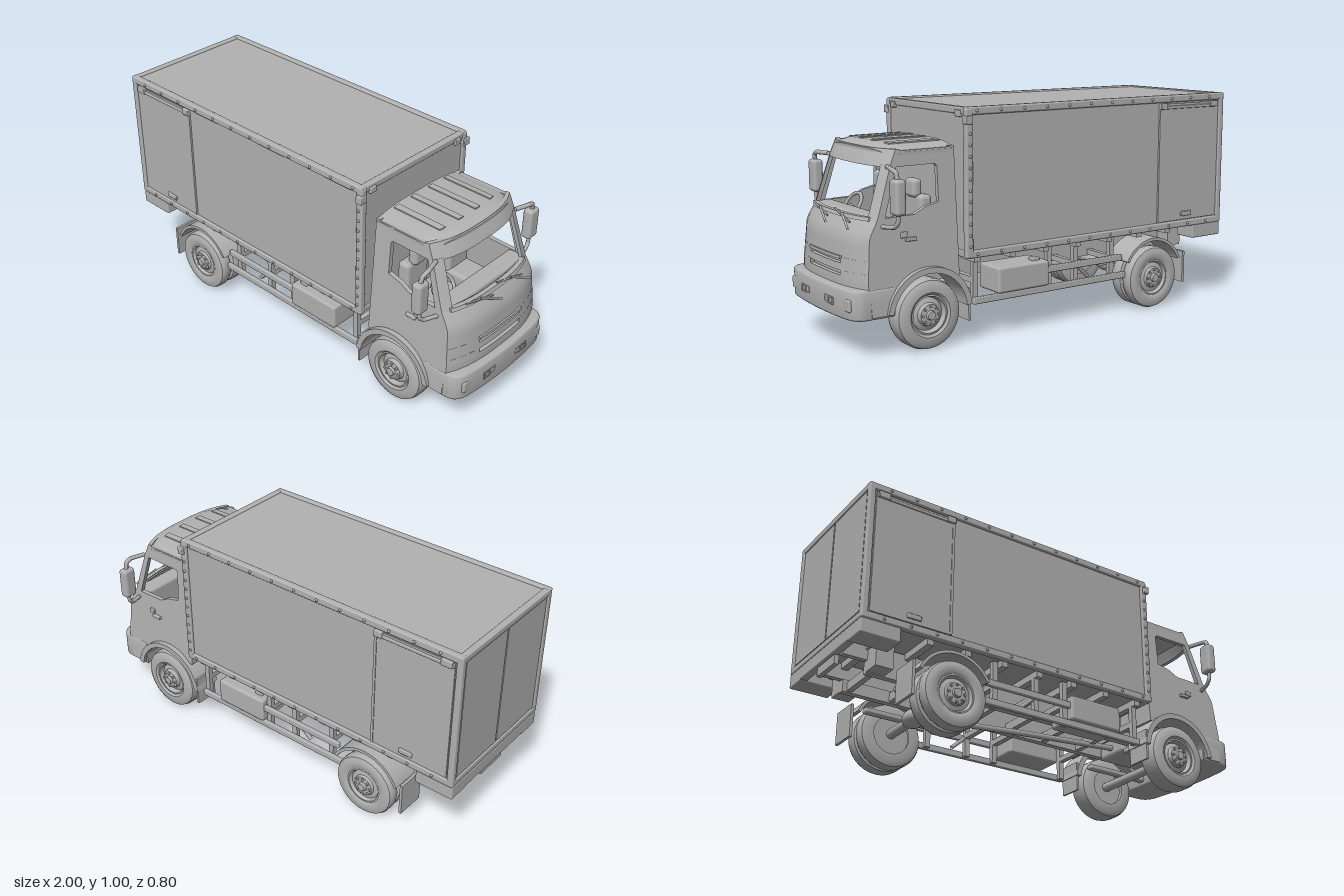
import * as THREE from 'three';
import { toCreasedNormals } from 'three/addons/utils/BufferGeometryUtils.js';
import { RoundedBoxGeometry } from 'three/addons/geometries/RoundedBoxGeometry.js';

const grey = new THREE.MeshStandardMaterial({ color: 0xb2b2b2, side: THREE.DoubleSide });
grey.name = 'plain grey';

export function createModel() {
  const truck = new THREE.Group();
  truck.name = 'boxTruck';
  const V = (x, y, z) => new THREE.Vector3(x, y, z);
  const add = (name, geo, parent = truck) => {
    const m = new THREE.Mesh(geo, grey);
    m.name = name;
    parent.add(m);
    return m;
  };
  // Box given by its limits on each axis, optionally rounded
  const box = (name, x0, x1, y0, y1, z0, z1, r = 0) => {
    const s = [x1 - x0, y1 - y0, z1 - z0];
    const g = r ? new RoundedBoxGeometry(...s, 2, r) : new THREE.BoxGeometry(...s);
    return add(name, g.translate((x0 + x1) / 2, (y0 + y1) / 2, (z0 + z1) / 2));
  };
  // Same box on both sides of the truck
  const pair = (name, x0, x1, y0, y1, z0, z1, r = 0) => {
    box(name + 'Left', x0, x1, y0, y1, z0, z1, r);
    box(name + 'Right', x0, x1, y0, y1, -z1, -z0, r);
  };
  const tube = (name, pts, r) => add(name, new THREE.TubeGeometry(
    new THREE.CatmullRomCurve3(pts.map(p => V(...p)), false, 'catmullrom', 0.2), 20, r, 8));
  const bend = (geo, rule) => {
    const p = geo.attributes.position, v = V(0, 0, 0);
    for (let i = 0; i < p.count; i++) {
      rule(v.fromBufferAttribute(p, i));
      p.setXYZ(i, v.x, v.y, v.z);
    }
    geo.computeVertexNormals();
    return geo;
  };

  // Cargo box with edge rails, corner blocks, side doors and rivets
  box('cargoBox', -0.99, 0.465, 0.375, 0.992, -0.325, 0.325);
  for (const y of [0.385, 0.983]) {
    pair('longRail', -1, 0.47, y - 0.017, y + 0.017, 0.305, 0.335, 0.008);
    box('frontRail', 0.44, 0.47, y - 0.015, y + 0.015, -0.33, 0.33, 0.006);
    box('rearRail', -1, -0.97, y - 0.015, y + 0.015, -0.33, 0.33, 0.006);
  }
  pair('frontPost', 0.44, 0.474, 0.37, 0.995, 0.305, 0.336, 0.008);
  pair('rearPost', -1, -0.97, 0.37, 0.995, 0.305, 0.335, 0.008);
  pair('sideDoor', -0.965, -0.6, 0.405, 0.96, 0.32, 0.331);
  pair('doorPost', -0.602, -0.59, 0.405, 0.96, 0.32, 0.334);
  pair('doorRail', -0.96, -0.6, 0.935, 0.95, 0.32, 0.337, 0.004);
  pair('doorHandle', -0.8, -0.735, 0.422, 0.445, 0.325, 0.339, 0.004);
  pair('upperLatch', -0.955, -0.905, 0.935, 0.965, 0.325, 0.342, 0.004);
  pair('upperHinge', -0.63, -0.59, 0.935, 0.965, 0.325, 0.342, 0.004);
  pair('cornerBlock', 0.45, 0.478, 0.93, 0.965, 0.31, 0.35, 0.004);
  pair('frontMarker', 0.46, 0.478, 0.957, 0.985, 0.252, 0.288, 0.004);
  pair('rearDoor', -0.996, -0.985, 0.405, 0.965, 0.004, 0.3);
  for (let i = 0; i < 12; i++) for (const s of [-1, 1]) {
    const x = -0.9 + i * 0.12, y = 0.42 + i * 0.047;
    for (const h of [0.385, 0.983]) add('rivet', new THREE.SphereGeometry(0.007, 6, 4).translate(x, h, s * 0.335));
    add('rivet', new THREE.SphereGeometry(0.007, 6, 4).translate(0.455, y, s * 0.336));
  }

  // Chassis frame, cross members, axles and rear step
  pair('chassisRail', -0.86, 0.85, 0.245, 0.3, 0.095, 0.125);
  pair('subframe', -0.97, 0.46, 0.3, 0.37, 0.1, 0.125);
  for (let i = 0; i < 8; i++) {
    box('crossMember', -0.84 + i * 0.2, -0.815 + i * 0.2, 0.25, 0.29, -0.1, 0.1);
    box('floorBeam', -0.87 + i * 0.18, -0.84 + i * 0.18, 0.345, 0.375, -0.31, 0.31);
  }
  pair('rearSkirt', -1, -0.82, 0.305, 0.37, 0.22, 0.33, 0.006);
  box('rearBeam', -1, -0.965, 0.31, 0.37, -0.32, 0.32, 0.005);
  box('rearPlate', -0.985, -0.965, 0.27, 0.315, -0.08, 0.08);
  pair('tailLamp', -1, -0.985, 0.32, 0.35, 0.23, 0.31);
  pair('rearHanger', -0.86, -0.78, 0.25, 0.37, 0.1, 0.2);
  for (const x of [-0.565, 0.64]) {
    add('axle', new THREE.CylinderGeometry(0.022, 0.022, 0.5, 14).rotateX(Math.PI / 2).translate(x, 0.155, 0));
    pair('leafSpring', x - 0.17, x + 0.17, 0.19, 0.215, 0.12, 0.155, 0.008);
  }
  add('differential', new THREE.SphereGeometry(0.05, 18, 12).scale(1, 0.8, 1.4).translate(-0.565, 0.158, 0));
  tube('driveShaft', [[-0.55, 0.165, 0], [0, 0.22, 0], [0.5, 0.26, 0]], 0.014);
  box('engine', 0.5, 0.86, 0.22, 0.36, -0.09, 0.09, 0.02);

  // Side guards and tanks
  pair('lowerGuard', -0.42, 0.42, 0.16, 0.19, 0.285, 0.305, 0.005);
  pair('upperGuard', -0.4, 0.05, 0.245, 0.275, 0.285, 0.305, 0.005);
  for (const x of [-0.36, -0.15, 0, 0.39]) {
    pair('guardPost', x, x + 0.025, 0.165, 0.37, 0.265, 0.288);
    pair('guardArm', x, x + 0.025, 0.25, 0.275, 0.12, 0.28);
  }
  pair('tank', 0.03, 0.3, 0.19, 0.305, 0.16, 0.315, 0.012);
  pair('tankCap', 0.06, 0.1, 0.3, 0.318, 0.25, 0.285, 0.005);
  for (const s of [-1, 1])
    tube('guardBrace', [[-0.13, 0.27, s * 0.28], [-0.22, 0.19, s * 0.27]], 0.009);

  // Wheels: turned tyre and rim, hub and bolts
  const wheel = (name, x, z, s, r, w) => {
    const g = new THREE.Group();
    g.name = name;
    const h = w / 2;
    const tyre = [[0.085, -h], [r - 0.025, -h], [r - 0.006, -h * 0.8], [r, -h * 0.45], [r, h * 0.45],
      [r - 0.006, h * 0.8], [r - 0.025, h], [0.095, h], [0.085, h * 0.85]];
    const rim = [[0.088, h * 0.8], [0.078, h * 0.85], [0.07, h * 0.45], [0.05, h * 0.6], [0.045, h * 0.95], [0.03, h], [0, h]];
    const lathe = p => toCreasedNormals(new THREE.LatheGeometry(p.map(q => new THREE.Vector2(...q)), 40).rotateX(Math.PI / 2), 0.6);
    add('tyre', lathe(tyre), g);
    add('rim', lathe(rim), g);
    add('innerDisc', new THREE.CylinderGeometry(0.086, 0.086, 0.01, 32).rotateX(Math.PI / 2).translate(0, 0, -h * 0.6), g);
    add('hub', new THREE.CylinderGeometry(0.018, 0.022, 0.016, 16).rotateX(Math.PI / 2).translate(0, 0, h + 0.004), g);
    for (let i = 0; i < 8; i++) {
      const a = i * Math.PI / 4;
      add('wheelBolt', new THREE.CylinderGeometry(0.006, 0.006, 0.012, 6).rotateX(Math.PI / 2)
        .translate(Math.cos(a) * 0.037, Math.sin(a) * 0.037, h), g);
    }
    g.position.set(x, r + 0.003, s * z);
    if (s < 0) g.rotation.y = Math.PI;
    truck.add(g);
  };
  // Curved mudguard over a wheel
  const fender = (name, x, r0, r1, z0, z1, a0, a1) => {
    const sh = new THREE.Shape();
    sh.absarc(0, 0, r1, a0, a1, false);
    sh.absarc(0, 0, r0, a1, a0, true);
    const g = new THREE.ExtrudeGeometry(sh, { depth: z1 - z0, bevelEnabled: false, curveSegments: 24 });
    add(name, toCreasedNormals(g.translate(x, 0.155, z0), 0.6));
  };
  for (const s of [-1, 1]) {
    wheel('frontWheel', 0.64, 0.26, s, 0.15, 0.11);
    wheel('rearOuterWheel', -0.565, 0.308, s, 0.146, 0.068);
    wheel('rearInnerWheel', -0.565, 0.234, s, 0.146, 0.068);
    const z = (a, b) => s > 0 ? [a, b] : [-b, -a];
    fender('frontFender', 0.64, 0.175, 0.2, ...z(0.19, 0.322), 0.15, 3.05);
    fender('rearFender', -0.565, 0.168, 0.182, ...z(0.195, 0.336), 0.5, 2.75);
  }
  pair('rearMudflap', -0.765, -0.752, 0.1, 0.25, 0.2, 0.335);
  pair('frontMudflap', 0.445, 0.455, 0.1, 0.24, 0.2, 0.315);

  // Cab shell: width narrows with height, the front follows a raked, bowed curve
  const widthAt = y => (0.31 - 0.068 * (y - 0.17)) / 0.3;
  const curve = [[0.17, 0.965], [0.32, 0.965], [0.5, 0.95], [0.567, 0.91], [0.78, 0.84], [0.85, 0.81]];
  const frontX = y => {
    let i = 1;
    while (i < curve.length - 1 && y > curve[i][0]) i++;
    const [a, b] = [curve[i - 1], curve[i]];
    return a[1] + (b[1] - a[1]) * (y - a[0]) / (b[0] - a[0]);
  };
  const frontPlate = (name, y0, y1, z0, z1, off = 0, t = 0.02) =>
    add(name, bend(new THREE.BoxGeometry(t, y1 - y0, z1 - z0, 1, 6, 12).translate(off - t / 2, (y0 + y1) / 2, (z0 + z1) / 2), v => {
      v.x += frontX(v.y) - 0.05 * Math.abs(v.z / 0.3) ** 3;
      v.z *= widthAt(v.y);
    }));
  frontPlate('frontPanel', 0.405, 0.572, -0.3, 0.3);
  frontPlate('grilleBar', 0.352, 0.382, -0.3, 0.3);
  frontPlate('grilleBase', 0.28, 0.333, -0.3, 0.3);
  frontPlate('grilleBacking', 0.3, 0.42, -0.2, 0.2, -0.025, 0.006);
  frontPlate('grilleLip', 0.4, 0.412, -0.145, 0.145, 0.008);
  frontPlate('windscreenSill', 0.562, 0.577, -0.265, 0.265, 0.008);
  frontPlate('windscreenHeader', 0.772, 0.842, -0.3, 0.3);
  for (const [a, b, k] of [[0.14, 0.3, 1], [-0.3, -0.14, -1]]) {
    frontPlate('upperGrilleEnd', 0.38, 0.407, a, b);
    frontPlate('lowerGrilleEnd', 0.331, 0.354, a, b);
    frontPlate('windscreenPillar', 0.565, 0.78, Math.min(k * 0.252, k * 0.3), Math.max(k * 0.252, k * 0.3));
  }
  const side = new THREE.Shape();
  side.moveTo(0.49, 0.3);
  side.absarc(0.64, 0.155, 0.195, Math.PI - 0.838, 0.13, true);
  for (const p of [[0.905, 0.18], [0.912, 0.32], [0.898, 0.5], [0.858, 0.567], [0.788, 0.78], [0.766, 0.836], [0.49, 0.836]]) side.lineTo(...p);
  side.holes.push(new THREE.Path([[0.575, 0.615], [0.64, 0.6], [0.69, 0.575], [0.825, 0.572], [0.765, 0.772], [0.585, 0.772], [0.575, 0.762]]
    .map(p => new THREE.Vector2(...p))));
  for (const z of [0.278, -0.3]) {
    const g = new THREE.ExtrudeGeometry(side, { depth: 0.022, bevelEnabled: false, curveSegments: 20 }).translate(0, 0, z);
    add('cabSide', bend(g, v => { v.z *= widthAt(v.y); }));
  }
  add('cabBack', bend(new THREE.BoxGeometry(0.02, 0.54, 0.6).translate(0.5, 0.57, 0), v => { v.z *= widthAt(v.y); }));
  const roofRule = v => {
    const q = Math.abs(v.z / 0.266);
    v.y -= 0.028 * q ** 4 + 0.02 * Math.max(0, (v.x - 0.74) / 0.08) ** 2;
    v.x -= 0.05 * q ** 3 * Math.max(0, (v.x - 0.49) / 0.33);
  };
  add('roof', bend(new THREE.BoxGeometry(0.33, 0.022, 0.532, 10, 1, 16).translate(0.655, 0.847, 0), roofRule));
  for (const z of [-0.16, -0.055, 0.055, 0.16])
    add('roofRib', bend(new THREE.BoxGeometry(0.25, 0.008, 0.03, 6, 1, 2).translate(0.63, 0.859, z), roofRule));
  box('cabFloor', 0.49, 0.9, 0.355, 0.375, -0.28, 0.28);
  pair('doorGrip', 0.69, 0.74, 0.47, 0.485, 0.285, 0.302, 0.004);
  pair('sideMarker', 0.73, 0.76, 0.485, 0.51, 0.282, 0.296, 0.004);

  // Bumper with lamps and step
  const plan = new THREE.Shape();
  plan.moveTo(0.81, -0.295);
  plan.lineTo(0.92, -0.295);
  plan.bezierCurveTo(0.965, -0.293, 0.975, -0.26, 0.98, -0.2);
  plan.quadraticCurveTo(1.0, 0, 0.98, 0.2);
  plan.bezierCurveTo(0.975, 0.26, 0.965, 0.293, 0.92, 0.295);
  plan.lineTo(0.81, 0.295);
  const bumper = new THREE.ExtrudeGeometry(plan, { depth: 0.105, bevelSize: 0.01, bevelThickness: 0.01, bevelSegments: 3, curveSegments: 16 });
  add('bumper', toCreasedNormals(bumper.rotateX(Math.PI / 2).translate(0, 0.285, 0), 0.7));
  pair('headlamp', 0.96, 0.988, 0.205, 0.258, 0.2, 0.268, 0.008);
  for (const y of [0.215, 0.242]) pair('fogLampFrame', 0.97, 1, y, y + 0.006, 0.07, 0.145);
  for (const z of [0.07, 0.105, 0.14]) pair('fogLampBar', 0.97, 1, 0.215, 0.245, z, z + 0.006);

  // Interior: seats, dashboard and steering wheel
  pair('seatCushion', 0.57, 0.75, 0.4, 0.47, 0.07, 0.21, 0.02);
  pair('seatBack', 0.56, 0.62, 0.45, 0.635, 0.07, 0.21, 0.02);
  pair('headrest', 0.59, 0.635, 0.62, 0.7, 0.1, 0.18, 0.018);
  box('dashboard', 0.79, 0.875, 0.4, 0.575, -0.265, 0.265, 0.015);
  add('steeringWheel', new THREE.TorusGeometry(0.06, 0.008, 8, 28).rotateY(Math.PI / 2).rotateZ(0.6)).position.set(0.755, 0.56, 0.14);
  tube('steeringColumn', [[0.755, 0.56, 0.14], [0.82, 0.51, 0.14]], 0.012);

  // Mirrors on tube arms, and wipers
  pair('mirror', 0.79, 0.838, 0.595, 0.74, 0.335, 0.4, 0.016);
  for (const s of [-1, 1]) {
    tube('mirrorArm', [[0.8, 0.775, s * 0.262], [0.82, 0.775, s * 0.33], [0.818, 0.765, s * 0.362], [0.815, 0.73, s * 0.37]], 0.01);
    tube('lowerMirrorArm', [[0.84, 0.54, s * 0.28], [0.82, 0.545, s * 0.345], [0.815, 0.565, s * 0.367], [0.815, 0.61, s * 0.37]], 0.009);
  }
  for (const z of [0, -0.2]) {
    tube('wiperArm', [[0.95, 0.53, z], [0.935, 0.55, z + 0.05], [0.92, 0.575, z + 0.11]], 0.005);
    tube('wiperBlade', [[0.925, 0.55, z + 0.03], [0.91, 0.585, z + 0.19]], 0.004);
  }
  return truck;
}
